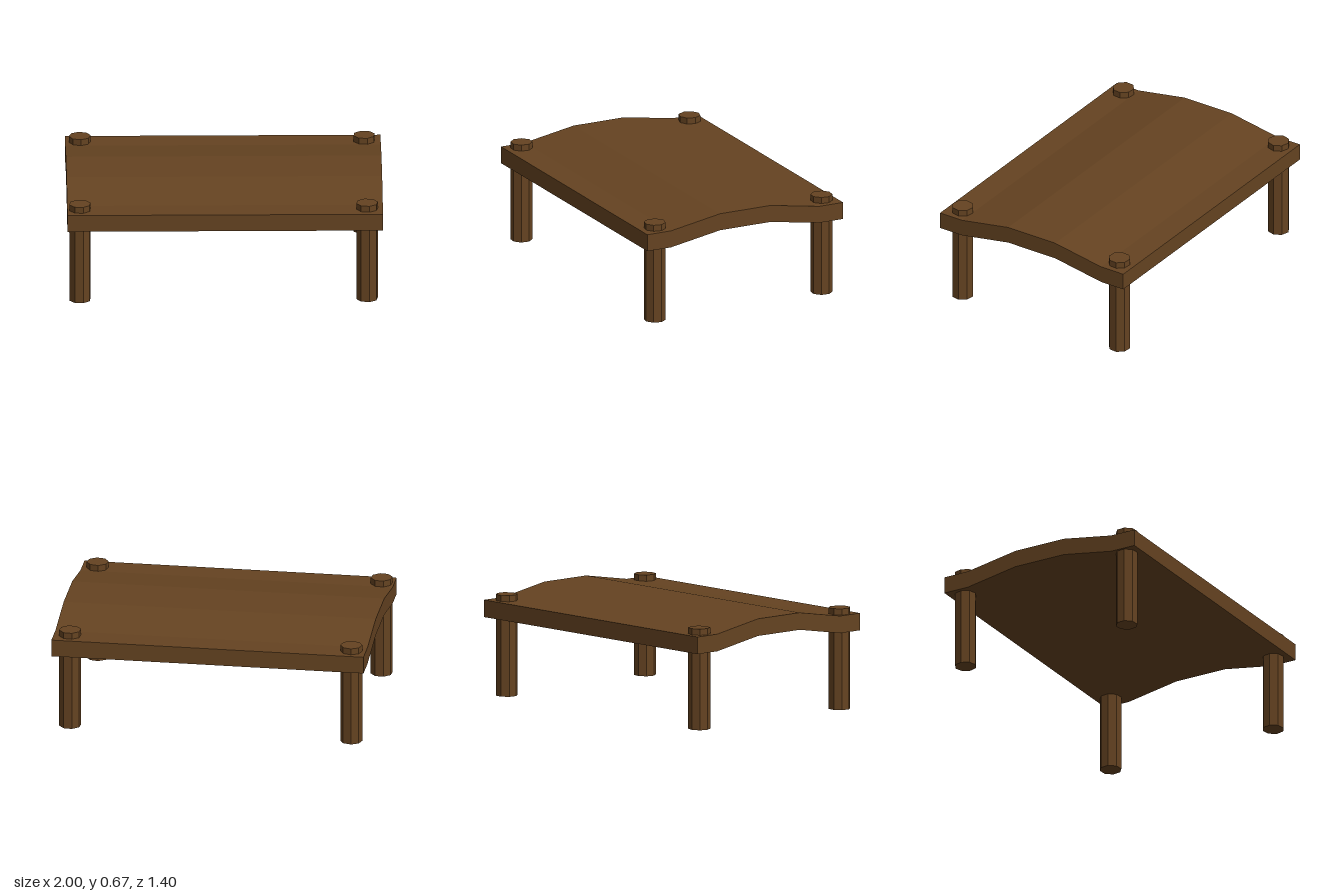
import * as THREE from 'three';

export function createModel() {
  const model = new THREE.Group();
  const wood = new THREE.MeshStandardMaterial({ color: 0x654321, flatShading: true });

  // Arched deck: side profile swept along the width
  const arch = [[-0.7, 0.5], [-0.53, 0.5], [-0.18, 0.56], [0.18, 0.56], [0.53, 0.5], [0.7, 0.5]];
  const thickness = 0.11;
  const top = arch.map(([z, y]) => [z, y + thickness]).reverse();
  const profile = new THREE.Shape([...arch, ...top].map(([z, y]) => new THREE.Vector2(z, y)));
  const deckGeometry = new THREE.ExtrudeGeometry(profile, { depth: 2, bevelEnabled: false });
  deckGeometry.translate(0, 0, -1).rotateY(Math.PI / 2);
  const deck = new THREE.Mesh(deckGeometry, wood);
  deck.name = 'deck';
  model.add(deck);

  // Corner posts, set slightly unevenly and poking through the deck
  const postHeight = 0.65;
  const postGeometry = new THREE.CylinderGeometry(0.07, 0.07, postHeight, 8);
  const posts = [
    ['frontLeftPost', 0.9, 0.595, 0.2],
    ['frontRightPost', -0.92, 0.595, 0.3],
    ['backLeftPost', 0.895, -0.6, 0.3],
    ['backRightPost', -0.907, -0.6, 0.1],
  ];
  for (const [name, x, z, turn] of posts) {
    const post = new THREE.Mesh(postGeometry, wood);
    post.name = name;
    post.position.set(x, postHeight / 2, z);
    post.rotation.y = turn;
    model.add(post);
  }
  return model;
}
